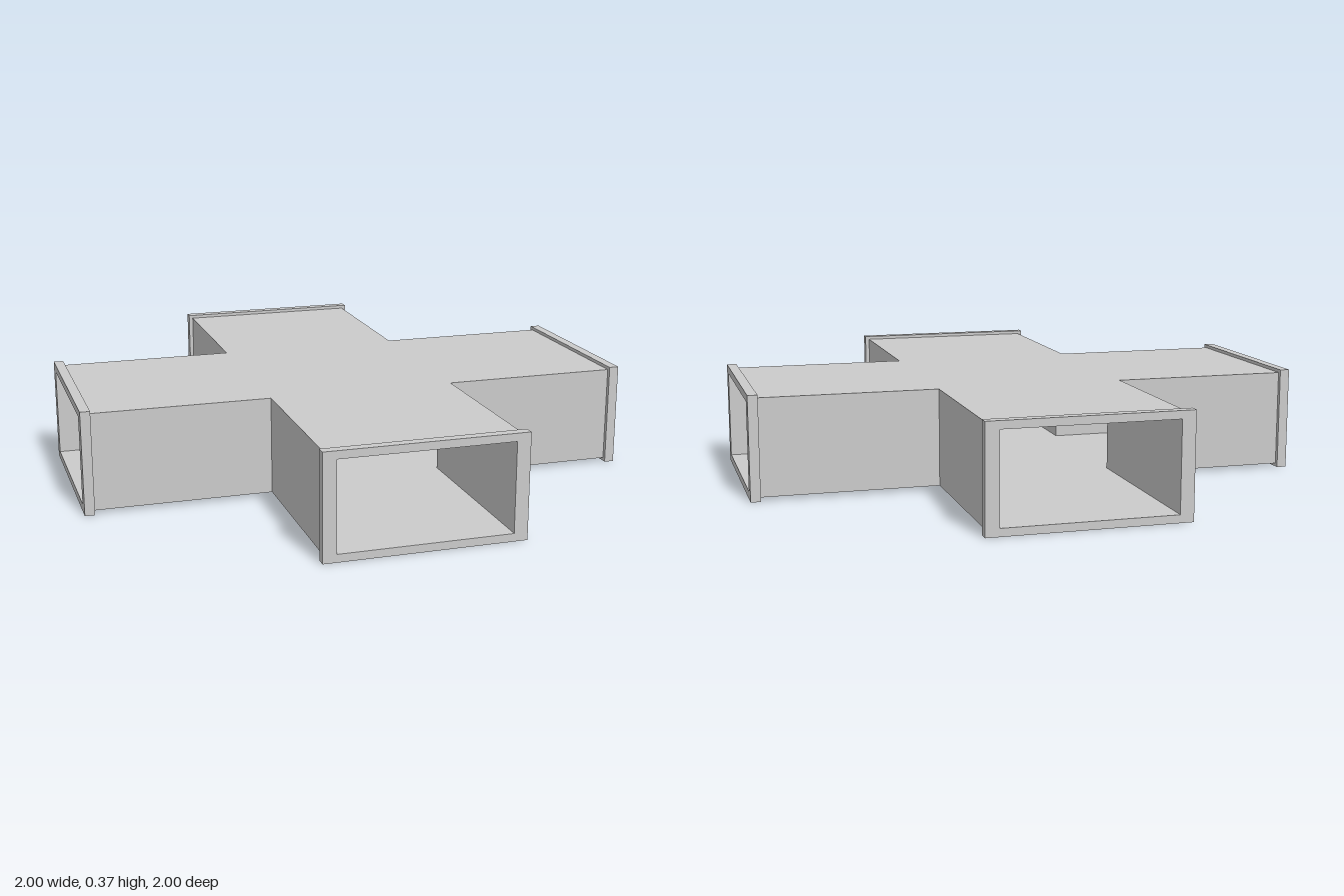
import * as THREE from 'three';

const END = 1, COLLAR = 0.035;            // arm reach, collar depth
const OUT = 0.335, IN = 0.302, RIM = 0.35; // half widths: wall outside, wall inside, collar
const H = 0.37, Y0 = 0.012, Y1 = 0.028;    // total height, floor underside, floor surface

const polygon = (pts) => new THREE.Shape(pts.map(([x, y]) => new THREE.Vector2(x, y)));

// Rectangle corners, symmetric in x
const rect = (w, y0, y1) => [[-w, y0], [w, y0], [w, y1], [-w, y1]];

// Extrude a plan outline upwards from y0 to y1
function slab(shape, y0, y1) {
  const g = new THREE.ExtrudeGeometry(shape, { depth: y1 - y0, bevelEnabled: false });
  return g.rotateX(-Math.PI / 2).translate(0, y0, 0);
}

export function createModel() {
  const group = new THREE.Group();
  const material = new THREE.MeshStandardMaterial({ color: 0xcccccc, flatShading: true });
  const add = (name, geometry, turn = 0) => {
    const mesh = new THREE.Mesh(geometry, material);
    mesh.name = name;
    mesh.rotation.y = turn * Math.PI / 2;
    group.add(mesh);
  };
  const L = END - COLLAR;

  // Cross-shaped floor and ceiling
  const cross = polygon([
    [OUT, OUT], [OUT, L], [-OUT, L], [-OUT, OUT], [-L, OUT], [-L, -OUT],
    [-OUT, -OUT], [-OUT, -L], [OUT, -L], [OUT, -OUT], [L, -OUT], [L, OUT],
  ]);
  add('floor', slab(cross, Y0, Y1));
  add('ceiling', slab(cross, H - Y1, H - Y0));

  // L-shaped wall in each inner corner, collar frame at each open end
  const corner = polygon([[IN, IN], [L, IN], [L, OUT], [OUT, OUT], [OUT, L], [IN, L]]);
  const wall = slab(corner, Y1, H - Y1);
  const frame = polygon(rect(RIM, 0, H));
  frame.holes.push(polygon(rect(IN, Y1, H - Y1)));
  const collar = new THREE.ExtrudeGeometry(frame, { depth: COLLAR, bevelEnabled: false }).translate(0, 0, L);

  for (let i = 0; i < 4; i++) {
    add('cornerWall', wall, i);
    add('endCollar', collar, i);
  }
  return group;
}
